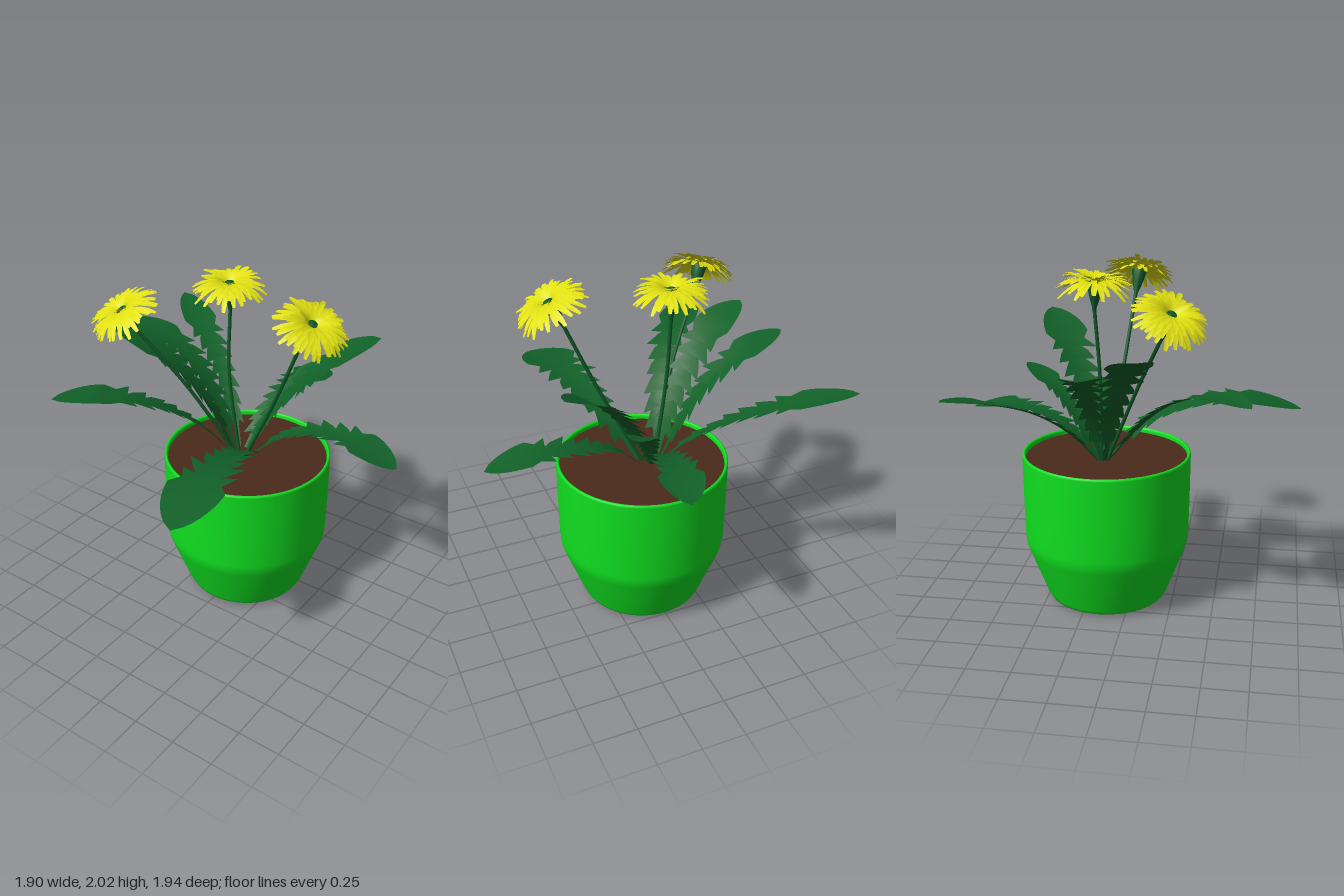
import * as THREE from 'three';
import { mergeGeometries } from 'three/addons/utils/BufferGeometryUtils.js';

const V = (x, y, z) => new THREE.Vector3(x, y, z);
const UP = V(0, 1, 0);
const mat = (color, side = THREE.FrontSide) => new THREE.MeshStandardMaterial({ color, side });

// small seeded generator, returns -1..1
function seeded(seed) {
  return () => {
    seed = (seed * 16807) % 2147483647;
    return (seed / 2147483647) * 2 - 1;
  };
}

function mesh(name, geometry, material) {
  const m = new THREE.Mesh(geometry, material);
  m.name = name;
  return m;
}

function lathe(points, segments) {
  return new THREE.LatheGeometry(points.map(([r, y]) => new THREE.Vector2(r, y)), segments);
}

// Toothed blade swept along a curve: left edge, midrib, right edge per station
function leafGeometry(points, width, seed) {
  const rnd = seeded(seed);
  const curve = new THREE.CatmullRomCurve3(points.map(p => V(...p)));
  const env = t => width * (t < 0.74
    ? 0.32 + 0.68 * t / 0.74
    : Math.pow(Math.max(0, 1 - ((t - 0.74) / 0.26) ** 2), 0.7));

  // each station: t, half width, backward sweep of the edge
  const stations = [[0, 0.012, 0], [0.07, 0.014, 0], [0.13, 0.016, 0]];
  for (let k = 0; k < 7; k++) {
    const t = 0.15 + 0.085 * k;
    stations.push([t, 0.45 * env(t), 0]);
    stations.push([t + 0.012, 1.08 * env(t), 0.035]);
    stations.push([t + 0.05, 0.76 * env(t), 0]);
  }
  for (let k = 0; k <= 8; k++) {
    const t = 0.76 + 0.03 * k;
    stations.push([t, env(t), 0]);
  }

  const pos = [], index = [];
  stations.forEach(([t, half, back], i) => {
    const c = curve.getPointAt(t), tan = curve.getTangentAt(t);
    const side = tan.clone().cross(UP).normalize();
    const lift = side.clone().cross(tan);
    const edge = s => {
      const w = half * (1 + (back ? 0.16 * rnd() : 0));
      return c.clone().addScaledVector(side, s * w)
        .addScaledVector(lift, 0.14 * w)
        .addScaledVector(tan, -back * (1 + 0.4 * rnd()));
    };
    pos.push(...edge(-1).toArray(), ...c.toArray(), ...edge(1).toArray());
    if (i) {
      const b = i * 3, a = b - 3;
      for (const j of [0, 1]) index.push(a + j, a + j + 1, b + j, a + j + 1, b + j + 1, b + j);
    }
  });
  const g = new THREE.BufferGeometry();
  g.setAttribute('position', new THREE.Float32BufferAttribute(pos, 3));
  g.setIndex(index);
  g.computeVertexNormals();
  return g;
}

// One strap petal running out along +z, rising then drooping
function petalGeometry(length, rise, droop, width) {
  const g = new THREE.PlaneGeometry(1, 1, 2, 5);
  const p = g.attributes.position;
  for (let i = 0; i < p.count; i++) {
    const s = p.getX(i) * 2, u = 0.5 - p.getY(i);
    const w = width * (0.35 + 0.65 * Math.sqrt(u)) * (u > 0.9 ? 0.55 : 1);
    p.setXYZ(i, s * w, length * (rise * u - droop * u * u) + 0.2 * w * Math.abs(s), 0.01 + length * u);
  }
  g.computeVertexNormals();
  return g;
}

// Layered flower head, outer petals long and drooping, inner ones short and steep
function petalsGeometry(seed) {
  const rnd = seeded(seed), parts = [];
  const layers = [
    [0.195, 0.26, 0.5, 26], [0.19, 0.42, 0.5, 26], [0.165, 0.55, 0.42, 24],
    [0.125, 0.7, 0.38, 20], [0.075, 0.95, 0.4, 14],
  ];
  layers.forEach(([len, rise, droop, count], k) => {
    for (let i = 0; i < count; i++) {
      const g = petalGeometry(len * (1 + 0.06 * rnd()), rise + 0.1 * rnd(), droop + 0.08 * rnd(), 0.016);
      g.rotateY((i + k * 0.4 + 0.25 * rnd()) / count * Math.PI * 2);
      parts.push(g);
    }
  });
  return mergeGeometries(parts);
}

export function createModel() {
  const model = new THREE.Group();
  const potMat = mat(0x10e020), soilMat = mat(0x4a2a1a);
  const leafMat = mat(0x116028, THREE.DoubleSide), stemMat = mat(0x115a28);
  const petalMat = mat(0xe0e012, THREE.DoubleSide);

  // Pot with tapered foot, rounded rim and inner wall
  const pot = new THREE.Group();
  pot.name = 'pot';
  pot.position.set(0.01, 0, -0.155);
  pot.add(mesh('potShell', lathe([
    [0, 0.015], [0.29, 0.015], [0.3, 0.004], [0.325, 0.006], [0.35, 0.02], [0.365, 0.045],
    [0.42, 0.19], [0.472, 0.33], [0.484, 0.37], [0.488, 0.41], [0.492, 0.6], [0.495, 0.9],
    [0.493, 0.91], [0.485, 0.914], [0.478, 0.91], [0.475, 0.9], [0.472, 0.84],
  ], 64), potMat));
  const soil = mesh('soil', new THREE.CylinderGeometry(0.474, 0.474, 0.03, 64), soilMat);
  soil.position.y = 0.87;
  pot.add(soil);
  model.add(pot);

  // Leaves: path from the crown to the tip, and half width
  const leaves = [
    [[[-0.07, 0.87, -0.19], [-0.2, 1.06, -0.31], [-0.42, 1.25, -0.48], [-0.7, 1.38, -0.66], [-0.95, 1.46, -0.82]], 0.105],
    [[[-0.04, 0.87, -0.2], [-0.02, 1.01, -0.32], [0.01, 1.12, -0.5], [0.05, 1.16, -0.73], [0.09, 1.13, -0.97]], 0.125],
    [[[-0.02, 0.87, -0.18], [0.08, 1.1, -0.24], [0.2, 1.28, -0.32], [0.4, 1.5, -0.46], [0.61, 1.64, -0.6]], 0.135],
    [[[0.02, 0.87, -0.17], [0.2, 1.04, -0.22], [0.4, 1.125, -0.26], [0.64, 1.15, -0.26], [0.95, 1.09, -0.22]], 0.125],
    [[[0.02, 0.87, -0.14], [0.12, 1.07, 0.08], [0.19, 1.155, 0.3], [0.24, 1.19, 0.58], [0.31, 1.13, 0.97]], 0.165],
    [[[-0.08, 0.87, -0.14], [-0.2, 1.17, 0.1], [-0.34, 1.33, 0.3], [-0.51, 1.41, 0.5], [-0.71, 1.42, 0.7]], 0.115],
    [[[-0.09, 0.87, -0.17], [-0.2, 1.1, -0.19], [-0.38, 1.35, -0.2], [-0.6, 1.49, -0.19], [-0.85, 1.56, -0.15]], 0.11],
    [[[-0.08, 0.87, -0.15], [-0.2, 1.17, -0.09], [-0.38, 1.43, 0], [-0.55, 1.56, 0.07], [-0.74, 1.64, 0.14]], 0.13],
    [[[-0.03, 0.87, -0.2], [0.04, 1.08, -0.32], [0.13, 1.25, -0.47], [0.25, 1.37, -0.68]], 0.09],
  ];
  leaves.forEach(([path, width], i) => {
    model.add(mesh('leaf' + (i + 1), leafGeometry(path, width, 71 + i * 37), leafMat));
  });

  // Flowers: head centre, facing direction, stem base and mid point
  const flowers = [
    [V(-0.14, 1.925, -0.185), V(0, 1, 0.04), V(-0.06, 0.87, -0.17), V(-0.13, 1.4, -0.165)],
    [V(-0.53, 1.835, 0.275), V(-0.42, 1, 0.42), V(-0.06, 0.87, -0.14), V(-0.27, 1.36, 0.06)],
    [V(0.485, 1.9, -0.03), V(0.52, 1, 0.1), V(0, 0.87, -0.15), V(0.24, 1.36, -0.09)],
  ];
  const calyx = lathe([[0.01, -0.16], [0.014, -0.13], [0.026, -0.09], [0.036, -0.05], [0.045, 0], [0.03, 0.015], [0, 0.02]], 16);
  flowers.forEach(([centre, facing, base, mid], i) => {
    facing.normalize();
    const flower = new THREE.Group();
    flower.name = 'flower' + (i + 1);
    const head = new THREE.Group();
    head.name = 'flowerHead';
    head.position.copy(centre);
    head.quaternion.setFromUnitVectors(UP, facing);
    head.add(mesh('petals', petalsGeometry(1009 + i * 613), petalMat), mesh('calyx', calyx, stemMat));
    const top = centre.clone().addScaledVector(facing, -0.14);
    const curve = new THREE.CatmullRomCurve3([base, mid, top]);
    flower.add(head, mesh('stem', new THREE.TubeGeometry(curve, 24, 0.0105, 10), stemMat));
    model.add(flower);
  });

  return model;
}
